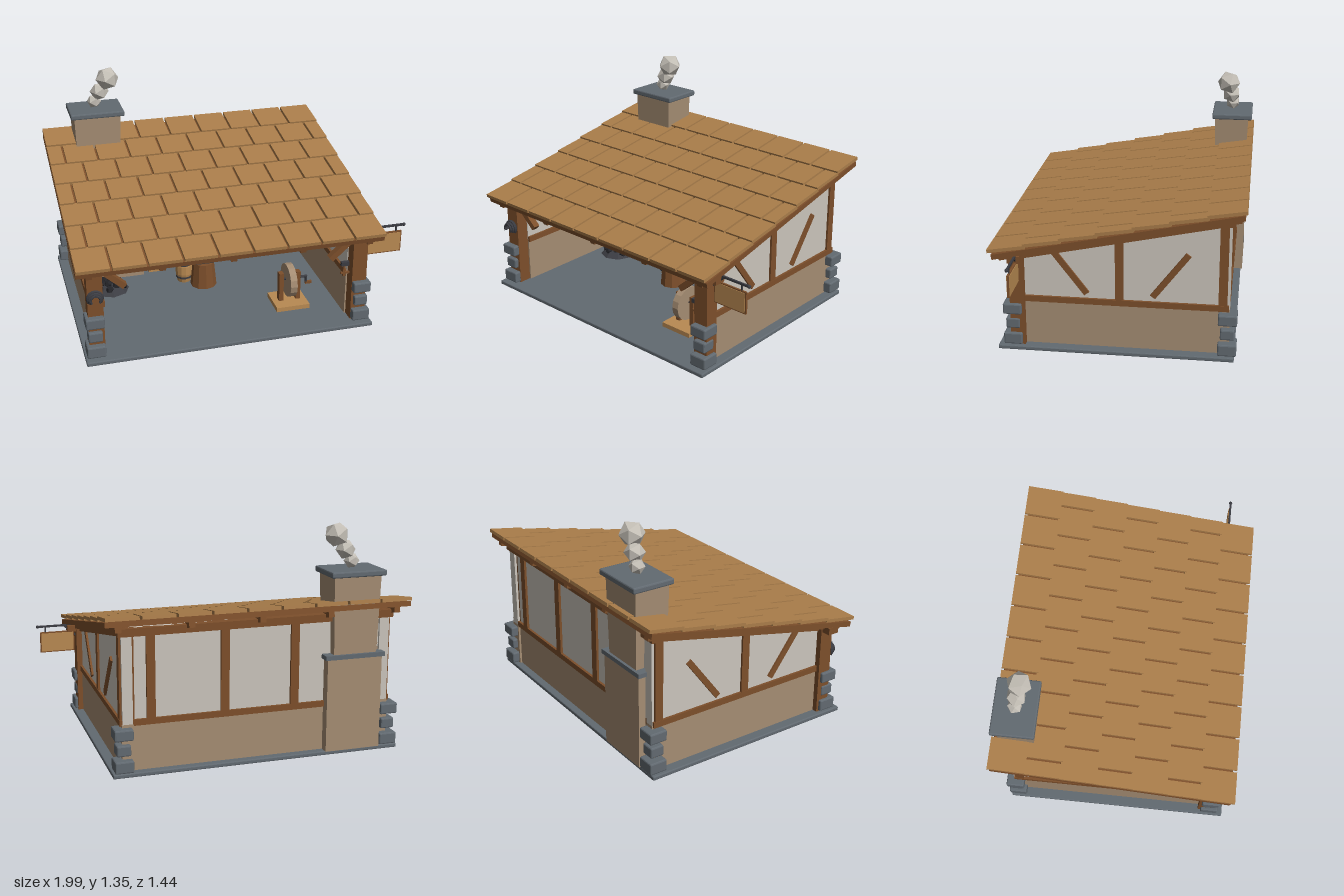
import * as THREE from 'three';
import { RoundedBoxGeometry } from 'three/addons/geometries/RoundedBoxGeometry.js';

const paint = (name, color, flatShading = false) => {
  const m = new THREE.MeshStandardMaterial({ color, flatShading });
  m.name = name;
  return m;
};

export function createModel() {
  const tile = paint('shingle tan', 0xaa7d4a), wood = paint('timber brown', 0x7d4f2b);
  const lightWood = paint('light wood', 0xb98a52), slate = paint('slate grey', 0x626a71);
  const stone = paint('tan stone', 0xa58d73), plaster = paint('plaster', 0xcbc5bc);
  const iron = paint('dark iron', 0x3b3c42), coalBlack = paint('coal black', 0x252529, true);
  const flame = paint('flame orange', 0xf0952a, true), smokeGrey = paint('smoke grey', 0xc4bfb6, true);
  [tile, lightWood, iron, stone, slate, wood].forEach((m) => { m.flatShading = true; });

  const model = new THREE.Group();
  const CX = -0.09, SLOPE = 0.214, TILT = Math.atan(SLOPE);
  const roofY = (z, drop = 0) => 0.75 - drop - SLOPE * z;

  const add = (name, geo, mat, x = 0, y = 0, z = 0, parent = model) => {
    const mesh = new THREE.Mesh(geo, mat);
    mesh.name = name;
    mesh.position.set(x, y, z);
    parent.add(mesh);
    return mesh;
  };
  // box given by its limits on each axis
  const span = (name, mat, x0, x1, y0, y1, z0, z1, parent = model) =>
    add(name, new THREE.BoxGeometry(x1 - x0, y1 - y0, z1 - z0), mat,
      (x0 + x1) / 2, (y0 + y1) / 2, (z0 + z1) / 2, parent);
  // box whose top is scaled and shifted
  const taper = (w, h, d, sx, sz, dz = 0) => {
    const g = new THREE.BoxGeometry(w, h, d), p = g.attributes.position;
    for (let i = 0; i < p.count; i++) {
      if (p.getY(i) > 0) p.setXYZ(i, p.getX(i) * sx, p.getY(i), p.getZ(i) * sz + dz);
    }
    g.computeVertexNormals();
    return g;
  };
  const cyl = (r0, r1, h, n) => new THREE.CylinderGeometry(r0, r1, h, n);
  // timber between two points
  const strut = (name, a, b, w, d, mat = wood) => {
    const A = new THREE.Vector3(...a), B = new THREE.Vector3(...b);
    const mid = A.clone().add(B).multiplyScalar(0.5);
    const m = add(name, new THREE.BoxGeometry(w, A.distanceTo(B), d), mat, mid.x, mid.y, mid.z);
    m.quaternion.setFromUnitVectors(new THREE.Vector3(0, 1, 0), B.sub(A).normalize());
    return m;
  };
  const horseshoe = (x, y, z, r = 0.028) => {
    const g = new THREE.TorusGeometry(r, r * 0.27, 6, 14, Math.PI * 1.4);
    g.rotateZ(-0.2 * Math.PI);
    add('horseshoe', g, iron, x, y, z);
  };

  // floor slab
  add('floorSlab', new RoundedBoxGeometry(1.728, 0.025, 1.355, 1, 0.006), slate, CX, 0.0125, 0);

  // side walls, mirrored
  const gable = new THREE.Shape([[-0.53, 0.3], [0.645, 0.3], [0.645, roofY(-0.645, 0.04)], [-0.53, roofY(0.53, 0.04)]]
    .map(([x, y]) => new THREE.Vector2(x, y)));
  for (const s of [-1, 1]) {
    const X = (o) => CX + s * o;
    const g = new THREE.ExtrudeGeometry(gable, { depth: 0.06, bevelEnabled: false });
    g.rotateY(Math.PI / 2);
    add('sidePlaster', g, plaster, X(0.77) - 0.03, 0, 0);
    const bar = (name, mat, w, y0, y1, z0, z1, o = 0.77) => span(name, mat, X(o) - w / 2, X(o) + w / 2, y0, y1, z0, z1);
    bar('sideStoneWall', stone, 0.068, 0.025, 0.3, -0.645, 0.53);
    bar('sideSill', wood, 0.09, 0.29, 0.325, -0.64, 0.53);
    bar('middleStud', wood, 0.085, 0.32, 0.71, -0.045, 0.003);
    bar('backStud', wood, 0.085, 0.32, 0.83, -0.63, -0.58);
    bar('frontPost', wood, 0.09, 0.025, 0.6, 0.523, 0.607, 0.79);
    const top = strut('sideTopPlate', [X(0.77), roofY(0.6, 0.055), 0.6], [X(0.77), roofY(-0.65, 0.055), -0.65], 0.085, 0.045);
    top.position.y -= 0.005;
    strut('sideBrace', [X(0.77), 0.62, 0.365], [X(0.77), 0.355, 0.165], 0.085, 0.035);
    strut('sideBrace', [X(0.77), 0.62, -0.41], [X(0.77), 0.355, -0.21], 0.085, 0.035);
    strut('kneeBrace', [X(0.755), 0.56, 0.565], [X(0.615), 0.435, 0.565], 0.035, 0.04);
    // corner stones
    for (const zc of [0.592, -0.635]) {
      [[0.03, 0.1, 0.108], [0.125, 0.188, 0.082], [0.218, 0.283, 0.108]].forEach(([y0, y1, w]) =>
        add('cornerStone', new RoundedBoxGeometry(w, y1 - y0, w, 1, 0.008), slate, X(0.8), (y0 + y1) / 2, zc));
    }
  }

  // back wall
  span('backStoneWall', stone, CX - 0.75, CX + 0.75, 0.025, 0.3, -0.632, -0.595);
  span('backPlaster', plaster, CX - 0.75, CX + 0.75, 0.3, 0.845, -0.63, -0.6);
  span('backSill', wood, CX - 0.75, CX + 0.75, 0.29, 0.325, -0.645, -0.58);
  span('backTopPlate', wood, CX - 0.82, CX + 0.82, 0.8, 0.845, -0.655, -0.58);
  for (const x of [0.545, 0.115, -0.305, -0.73]) span('backStud', wood, x - 0.025, x + 0.025, 0.32, 0.81, -0.645, -0.585);
  span('frontBeam', wood, CX - 0.89, CX + 0.89, 0.553, 0.595, 0.53, 0.6);

  // roof: deck, rafters and staggered shingles
  const roof = new THREE.Group();
  roof.name = 'roof';
  roof.position.set(CX, 0.75, 0);
  roof.rotation.x = TILT;
  model.add(roof);
  span('roofDeck', wood, -0.9, 0.9, -0.03, 0, -0.725, 0.705, roof);
  for (let i = -2; i <= 2; i++) span('rafter', wood, i * 0.412 - 0.018, i * 0.412 + 0.018, -0.062, -0.03, -0.7, 0.685, roof);
  const W = 1.813, pitch = W / 9;
  for (let r = 0; r < 7; r++) {
    const odd = r % 2, front = (-0.515 + 0.2035 * r) / Math.cos(TILT);
    for (let c = 0; c < 9 + odd; c++) {
      const x0 = Math.max(0, (c - odd / 2) * pitch), x1 = Math.min(W, (c + 1 - odd / 2) * pitch);
      const t = add('shingle', new THREE.BoxGeometry(x1 - x0 - 0.014, 0.02, 0.217), tile,
        (x0 + x1) / 2 - W / 2, 0.018, front - 0.1085, roof);
      t.rotation.x = -0.05;
    }
  }

  // chimney
  span('chimneyBase', stone, -0.83, -0.49, 0.025, 0.58, -0.688, -0.58);
  span('chimneyLedge', slate, -0.845, -0.475, 0.58, 0.606, -0.697, -0.57);
  add('chimneyStack', taper(0.265, 0.48, 0.195, 1.1, 1.08), stone, -0.663, 0.835, -0.583);
  add('chimneyCap', new RoundedBoxGeometry(0.338, 0.035, 0.254, 1, 0.008), slate, -0.662, 1.077, -0.587);
  [[-0.665, 1.135, -0.585, 0.046], [-0.63, 1.2, -0.575, 0.06], [-0.58, 1.285, -0.558, 0.075]].forEach(([x, y, z, r]) => {
    const puff = add('smokePuff', new THREE.IcosahedronGeometry(r, 0), smokeGrey, x, y, z);
    puff.rotation.y = y * 3;
  });

  // forge
  span('forgeHearth', stone, -0.83, -0.44, 0.025, 0.21, -0.6, -0.26);
  span('hearthSlab', slate, -0.84, -0.425, 0.208, 0.236, -0.6, -0.245);
  span('forgeBack', stone, -0.8, -0.47, 0.236, 0.44, -0.6, -0.43);
  span('fireOpening', iron, -0.77, -0.5, 0.24, 0.42, -0.43, -0.422);
  add('forgeHood', taper(0.41, 0.23, 0.34, 0.68, 0.5, -0.085), slate, -0.632, 0.555, -0.43);
  [[-0.735, 0.09], [-0.655, 0.12], [-0.575, 0.1], [-0.695, 0.07], [-0.53, 0.08]].forEach(([x, h], i) =>
    add('flame', new THREE.ConeGeometry(0.042, h, 5), flame, x, 0.236 + h / 2, -0.35 + 0.03 * (i % 2)));

  // coal heap
  add('coalBed', cyl(0.07, 0.115, 0.035, 8), iron, -0.68, 0.042, -0.13);
  for (let i = 0; i < 11; i++) {
    const a = i * 2.4, r = 0.028 * Math.sqrt(i);
    const lump = add('coalLump', new THREE.DodecahedronGeometry(0.025, 0), coalBlack,
      -0.68 + r * Math.cos(a), 0.085 - r * 0.4, -0.13 + r * Math.sin(a));
    lump.rotation.set(i, i * 2, 0);
  }

  // anvil on its stump
  add('anvilStump', cyl(0.068, 0.084, 0.16, 10), wood, -0.093, 0.105, -0.05);
  span('anvilFoot', iron, -0.15, -0.035, 0.185, 0.212, -0.09, -0.01);
  add('anvilWaist', taper(0.08, 0.055, 0.06, 1.2, 1), iron, -0.093, 0.238, -0.05);
  span('anvilFace', iron, -0.18, -0.01, 0.262, 0.305, -0.085, -0.015);
  const horn = add('anvilHorn', new THREE.ConeGeometry(0.026, 0.09, 8), iron, 0.03, 0.284, -0.05);
  horn.rotation.z = -Math.PI / 2;
  span('hammerHead', iron, -0.12, -0.075, 0.305, 0.33, -0.06, -0.035);
  span('hammerHandle', wood, -0.075, 0.025, 0.312, 0.323, -0.053, -0.042);

  // barrel with hoops
  const barrelPts = [[0, 0], [0.042, 0], [0.054, 0.055], [0.054, 0.11], [0.043, 0.17], [0, 0.17]].map((p) => new THREE.Vector2(...p));
  add('barrel', new THREE.LatheGeometry(barrelPts, 12), lightWood, -0.205, 0.03, -0.12);
  for (const y of [0.065, 0.155]) add('barrelHoop', cyl(0.0535, 0.0535, 0.012, 12), iron, -0.205, y, -0.12);

  // bellows on a stand
  span('bellowsStand', lightWood, -0.405, -0.3, 0.025, 0.2, -0.42, -0.28);
  const wedge = new THREE.Shape([[-0.41, 0.2], [-0.19, 0.215], [-0.19, 0.23], [-0.41, 0.262]].map((p) => new THREE.Vector2(...p)));
  add('bellows', new THREE.ExtrudeGeometry(wedge, { depth: 0.13, bevelEnabled: false }), wood, 0, 0, -0.415);
  strut('bellowsLeg', [-0.3, 0.13, -0.35], [-0.24, 0.03, -0.35], 0.025, 0.1);

  // grindstone
  span('grindstoneBase', lightWood, 0.25, 0.46, 0.03, 0.058, 0.23, 0.43);
  for (const x of [0.302, 0.41]) span('grindstonePost', wood, x - 0.014, x + 0.014, 0.058, 0.245, 0.31, 0.35);
  const wheel = add('grindstoneWheel', cyl(0.105, 0.105, 0.042, 16), stone, 0.356, 0.19, 0.33);
  const axle = add('grindstoneAxle', cyl(0.008, 0.008, 0.18, 8), iron, 0.38, 0.2, 0.33);
  wheel.rotation.z = axle.rotation.z = Math.PI / 2;
  span('crankArm', iron, 0.46, 0.472, 0.15, 0.205, 0.324, 0.336);
  span('crankHandle', wood, 0.46, 0.502, 0.148, 0.164, 0.322, 0.338);

  // horseshoe rack on the back wall, and shoes on the front post
  span('horseshoeRack', wood, -0.072, 0.435, 0.455, 0.48, -0.585, -0.545);
  for (let i = 0; i < 6; i++) horseshoe(-0.018 + i * 0.083, 0.418, -0.54, 0.03);
  for (let i = 0; i < 3; i++) horseshoe(-0.882, 0.405, 0.619 + i * 0.014, 0.04 - i * 0.006);
  span('horseshoePeg', iron, -0.888, -0.876, 0.428, 0.44, 0.6, 0.655);

  // tools on the inside of the right post
  span('toolHandle', wood, 0.614, 0.626, 0.3, 0.39, 0.55, 0.562);
  span('toolHead', iron, 0.6, 0.65, 0.37, 0.395, 0.545, 0.568);
  span('toolPeg', wood, 0.6, 0.66, 0.315, 0.327, 0.55, 0.562);

  // hanging sign
  span('signBar', iron, 0.74, 0.995, 0.589, 0.601, 0.548, 0.56);
  add('signBarTip', new THREE.IcosahedronGeometry(0.011, 1), iron, 0.989, 0.595, 0.554);
  strut('signBracket', [0.74, 0.52, 0.554], [0.82, 0.592, 0.554], 0.01, 0.01, iron);
  for (const x of [0.79, 0.94]) span('signChain', iron, x - 0.004, x + 0.004, 0.55, 0.592, 0.55, 0.558);
  span('signFrame', wood, 0.755, 0.975, 0.425, 0.557, 0.548, 0.56);
  span('signPanel', lightWood, 0.762, 0.968, 0.432, 0.55, 0.545, 0.563);

  return model;
}
